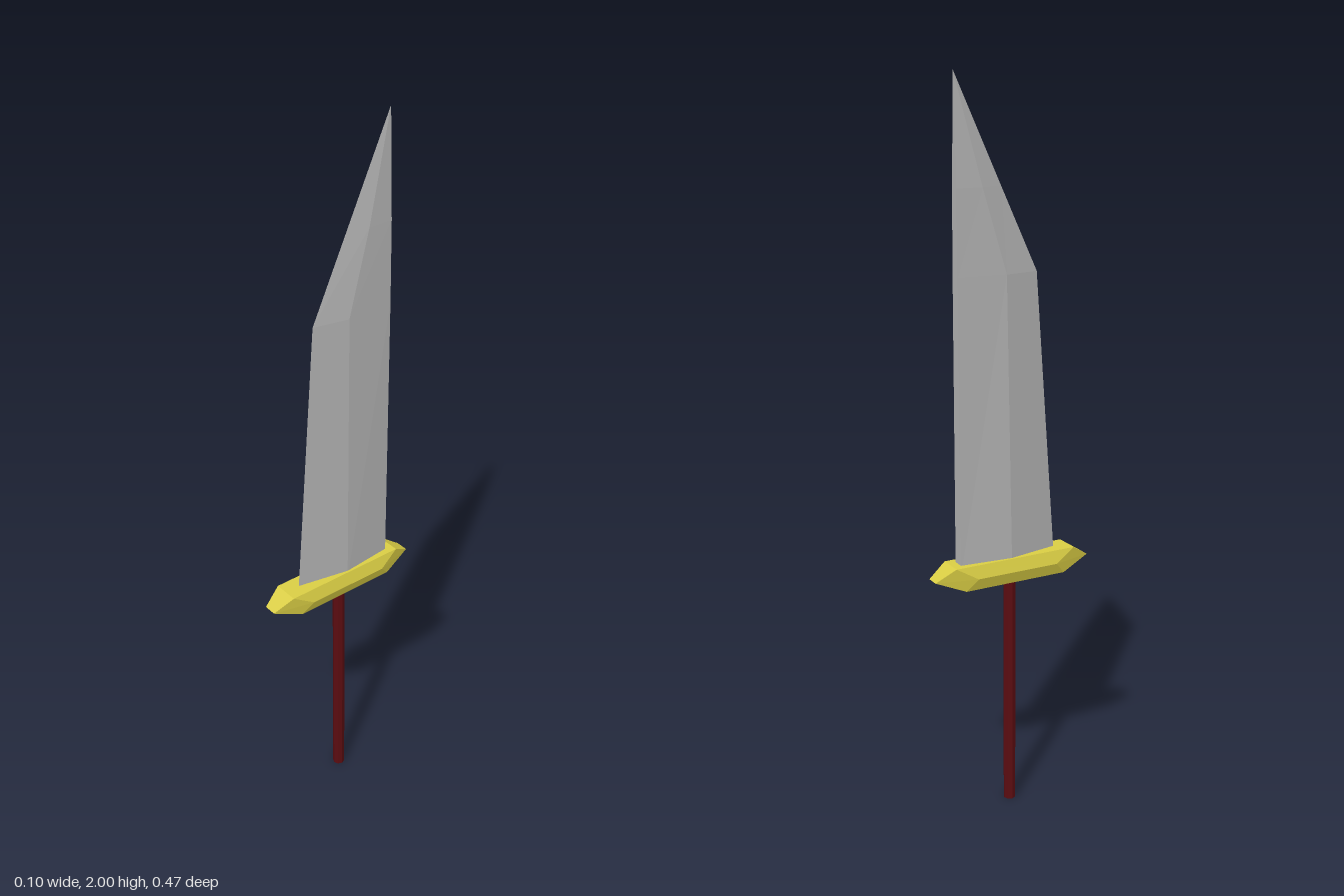
import * as THREE from 'three';
import { ConvexGeometry } from 'three/addons/geometries/ConvexGeometry.js';

const material = (name, color) => {
  const m = new THREE.MeshStandardMaterial({ color });
  m.name = name;
  return m;
};

// Faceted blade: wedge-shaped rings joined upward, closing on a point
function bladeGeometry() {
  const back = -0.157;
  // y, cutting edge z, ridge z, ridge half width, spine half width
  const levels = [
    [0.71, 0.138, -0.01, 0.03, 0.016],
    [1.5, 0.079, -0.02, 0.02, 0.014],
    [1.72, -0.025, -0.085, 0.014, 0.0115],
  ];
  const rings = levels.map(([y, edge, ridge, w, s]) => [
    [0, y, edge], [w, y, ridge], [s, y, back], [-s, y, back], [-w, y, ridge],
  ]);
  const tip = [0, 2, back];
  const points = [];
  const tri = (...corners) => corners.forEach((c) => points.push(...c));
  for (let i = 0; i < 5; i++) {
    const j = (i + 1) % 5;
    for (let k = 0; k < rings.length - 1; k++) {
      const low = rings[k], high = rings[k + 1];
      tri(low[i], low[j], high[j]);
      tri(low[i], high[j], high[i]);
    }
    const last = rings[rings.length - 1];
    tri(last[i], last[j], tip);
    // Flat underside
    tri(rings[0][j], rings[0][i], [0, 0.71, -0.02]);
  }
  const g = new THREE.BufferGeometry();
  g.setAttribute('position', new THREE.Float32BufferAttribute(points, 3));
  g.computeVertexNormals();
  return g;
}

// Bevelled crossguard: top and bottom rectangles around a wider, pointed belt
function guardGeometry() {
  const corners = [
    [0.036, 0.737, 0.18],
    [0.047, 0.702, 0.12],
    [0.0185, 0.702, 0.234],
    [0.034, 0.668, 0.15],
  ];
  const points = [];
  for (const [x, y, z] of corners)
    for (const sx of [-1, 1])
      for (const sz of [-1, 1]) points.push(new THREE.Vector3(x * sx, y, z * sz));
  return new ConvexGeometry(points);
}

export function createModel() {
  const model = new THREE.Group();
  model.name = 'sword';
  const add = (name, geometry, mat) => {
    const mesh = new THREE.Mesh(geometry, mat);
    mesh.name = name;
    model.add(mesh);
    return mesh;
  };

  add('blade', bladeGeometry(), material('steel', 0xb0b0b0));
  add('guard', guardGeometry(), material('gold', 0xd9cd44));

  // Slim eight-sided grip
  const grip = new THREE.CylinderGeometry(0.017, 0.017, 0.69, 8).toNonIndexed();
  grip.computeVertexNormals();
  add('grip', grip, material('dark red', 0x5a0c10)).position.set(0.003, 0.345, 0);

  // Slight twist of the whole weapon
  model.rotation.y = 0.02;
  return model;
}
